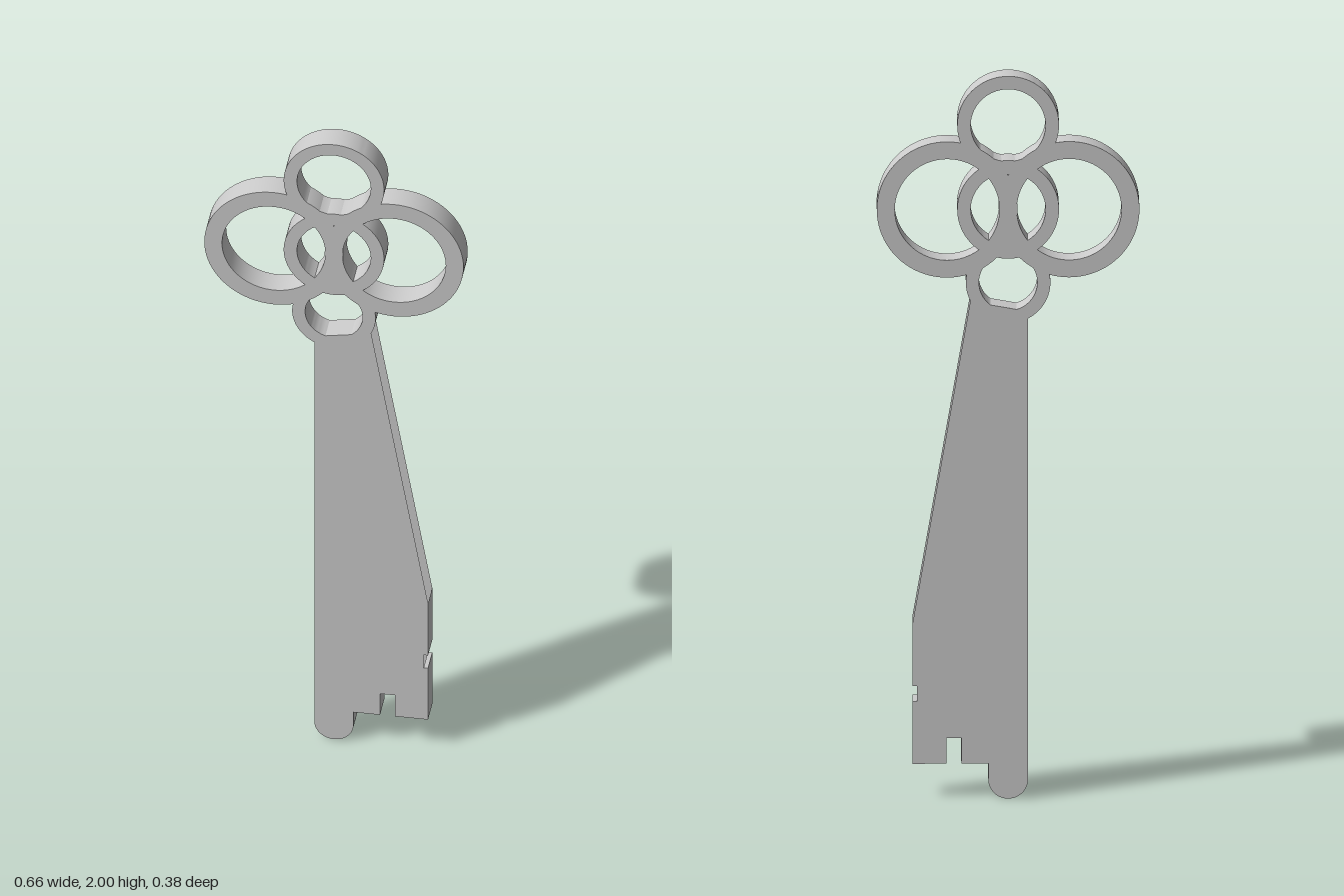
import * as THREE from 'three';
import { toCreasedNormals } from 'three/addons/utils/BufferGeometryUtils.js';

const T = 0.07; // plate thickness
const material = new THREE.MeshStandardMaterial({ color: 0xcccccc });
const openMaterial = new THREE.MeshStandardMaterial({ color: 0xcccccc, side: THREE.DoubleSide });

function plate(name, shape) {
  const flat = new THREE.ExtrudeGeometry(shape, { depth: T, bevelEnabled: false, curveSegments: 40 });
  flat.translate(0, 0, -T / 2);
  const mesh = new THREE.Mesh(toCreasedNormals(flat, 0.6), material);
  mesh.name = name;
  return mesh;
}

function ring(name, x, y, outer, inner) {
  const shape = new THREE.Shape().absarc(x, y, outer, 0, Math.PI * 2);
  shape.holes.push(new THREE.Path().absarc(x, y, inner, 0, Math.PI * 2));
  return plate(name, shape);
}

// One rectangular edge wall across the thickness, from a to b
function wall(a, b) {
  const g = new THREE.PlaneGeometry(Math.hypot(b[0] - a[0], b[1] - a[1]), T);
  g.rotateX(Math.PI / 2);
  g.rotateZ(Math.atan2(b[1] - a[1], b[0] - a[0]));
  g.translate((a[0] + b[0]) / 2, (a[1] + b[1]) / 2, 0);
  return g;
}

export function createModel() {
  const model = new THREE.Group();
  model.name = 'key';

  // Bow: interlocking rings
  const bow = new THREE.Group();
  bow.name = 'bow';
  bow.add(ring('topRing', 0, 1.864, 0.136, 0.1));
  bow.add(ring('centreRing', 0, 1.631, 0.136, 0.1));
  bow.add(ring('collarRing', 0, 1.429, 0.113, 0.078));
  for (const s of [-1, 1]) bow.add(ring(s > 0 ? 'leftRing' : 'rightRing', s * 0.163, 1.631, 0.188, 0.14));
  model.add(bow);

  // Shaft with a rounded tip
  const r = 0.053;
  const shaft = new THREE.Shape();
  shaft.moveTo(r, 1.368);
  shaft.lineTo(-r, 1.349);
  shaft.lineTo(-r, r);
  shaft.absarc(0, r, r, Math.PI, Math.PI * 2);
  shaft.lineTo(r, 1.368);
  model.add(plate('shaft', shaft));

  // Bit: hollow tapering blade, open along the slope and the side notch
  const outline = [
    [r, 0.097], [0.125, 0.097], [0.125, 0.168], [0.165, 0.168], [0.165, 0.097],
    [0.255, 0.097], [0.255, 0.27], [0.243, 0.27], [0.243, 0.313], [0.255, 0.313],
    [0.255, 0.488], [0.101, 1.377], [r, 1.368],
  ];
  const openEdges = [7, 10, 12];
  const bit = new THREE.Group();
  bit.name = 'bit';
  const face = new THREE.ShapeGeometry(new THREE.Shape(outline.map(p => new THREE.Vector2(...p))));
  for (const s of [-1, 1]) {
    const mesh = new THREE.Mesh(face, openMaterial);
    mesh.position.z = s * T / 2;
    if (s < 0) {
      // Turn the back face outward
      mesh.geometry = face.clone().scale(-1, 1, 1);
      mesh.rotation.y = Math.PI;
      mesh.geometry.index.array.reverse();
      mesh.geometry.computeVertexNormals();
    }
    mesh.name = s > 0 ? 'bitFront' : 'bitBack';
    bit.add(mesh);
  }
  outline.forEach((p, i) => {
    if (openEdges.includes(i)) return;
    const mesh = new THREE.Mesh(wall(p, outline[(i + 1) % outline.length]), openMaterial);
    mesh.name = 'bitEdge';
    bit.add(mesh);
  });
  model.add(bit);

  // The whole key stands turned about its vertical axis
  model.rotation.y = -THREE.MathUtils.degToRad(27.07);
  return model;
}
